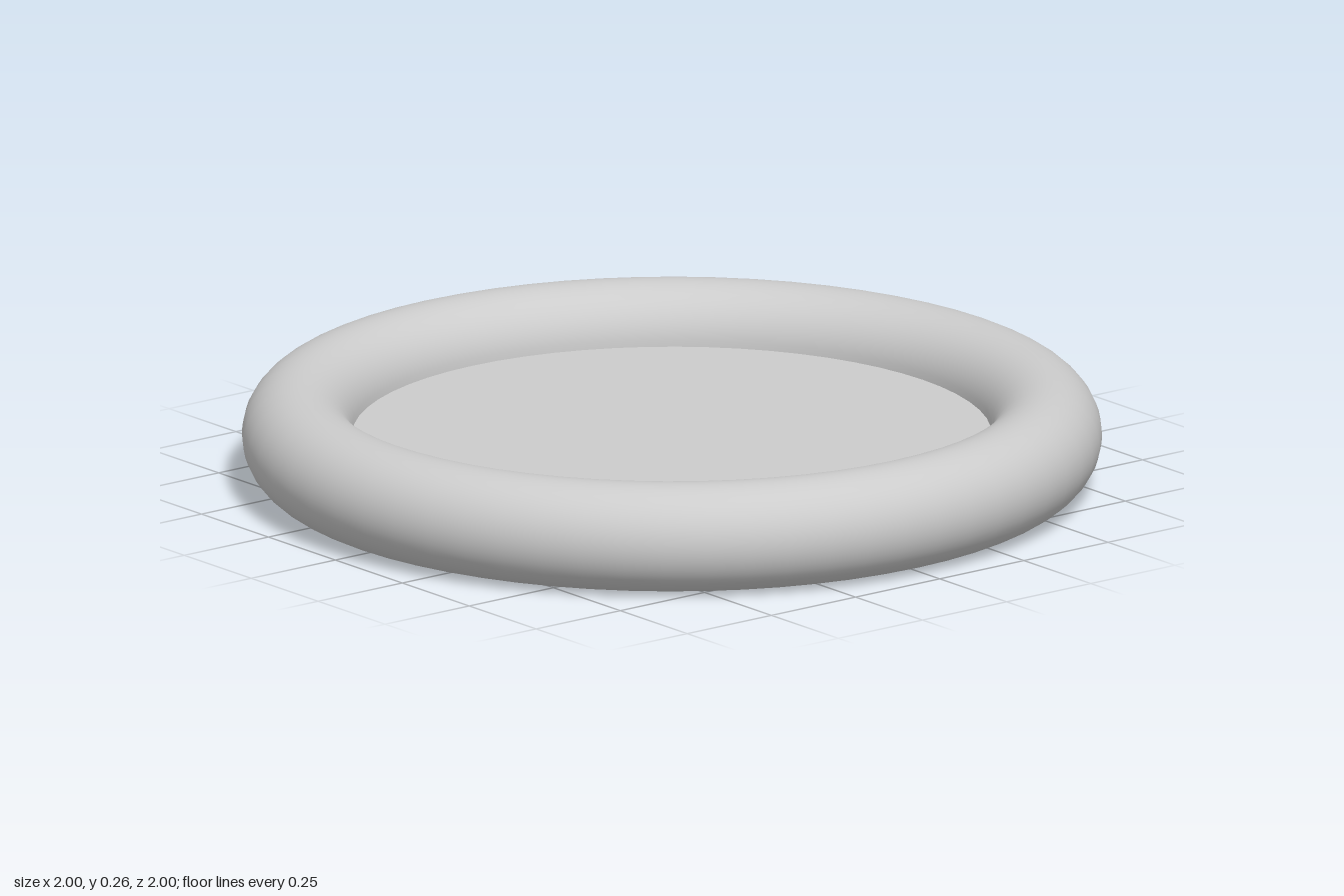
import * as THREE from 'three';

const SEGMENTS = 64;
const TUBE = 0.128; // radius of the rounded rim
const RING = 1 - TUBE; // radius of the rim's centre line

export function createModel() {
  const group = new THREE.Group();
  const material = new THREE.MeshStandardMaterial({ color: 0xcccccc });

  const add = (name, geometry) => {
    const mesh = new THREE.Mesh(geometry, material);
    mesh.name = name;
    group.add(mesh);
    return mesh;
  };

  // Rounded rim: from the underside, around the outside, to the inner floor edge
  const profile = [];
  const steps = 36;
  for (let i = 0; i <= steps; i++) {
    const a = -Math.PI / 2 + (i / steps) * Math.PI * 1.5;
    profile.push(new THREE.Vector2(RING + TUBE * Math.cos(a), TUBE + TUBE * Math.sin(a)));
  }
  add('rim', new THREE.LatheGeometry(profile, SEGMENTS));

  // Recessed floor at half the rim's height
  const floor = add('floor', new THREE.CircleGeometry(RING - TUBE, SEGMENTS));
  floor.rotation.x = -Math.PI / 2;
  floor.position.y = TUBE;

  // Flat underside, meeting the rim at its lowest point
  const base = add('base', new THREE.CircleGeometry(RING, SEGMENTS));
  base.rotation.x = Math.PI / 2;

  return group;
}
